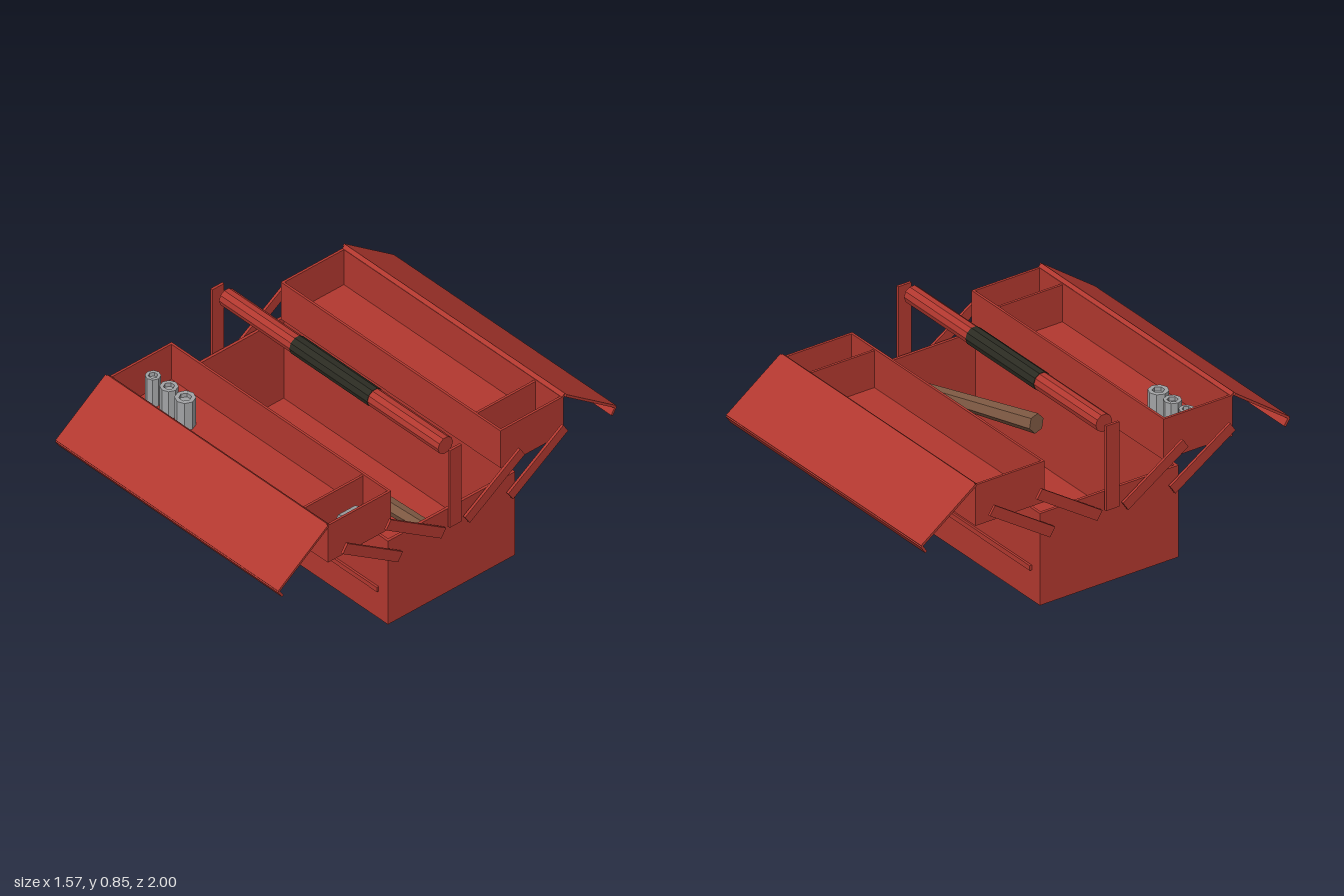
import * as THREE from 'three';

const mat = (name, color, extra = {}) => {
  const m = new THREE.MeshStandardMaterial({ color, flatShading: true, ...extra });
  m.name = name;
  return m;
};

export function createModel() {
  const red = mat('red paint', 0xb2382f);
  const black = mat('black rubber', 0x2b2b22);
  const steel = mat('steel', 0xa2a3a5);
  const wood = mat('wood', 0x7d5842);
  const model = new THREE.Group();
  model.name = 'cantileverToolbox';

  const add = (parent, name, geo, material) => {
    const mesh = new THREE.Mesh(geo, material);
    mesh.name = name;
    parent.add(mesh);
    return mesh;
  };
  // Box given by its limits on each axis, in any order
  const box = (parent, name, material, [x0, x1], [y0, y1], [z0, z1]) => {
    const geo = new THREE.BoxGeometry(Math.abs(x1 - x0), Math.abs(y1 - y0), Math.abs(z1 - z0));
    const mesh = add(parent, name, geo, material);
    mesh.position.set((x0 + x1) / 2, (y0 + y1) / 2, (z0 + z1) / 2);
    return mesh;
  };
  // Flat bar in the y-z plane between two points
  const bar = (parent, name, x, width, thick, [za, ya], [zb, yb]) => {
    const geo = new THREE.BoxGeometry(width, thick, Math.hypot(zb - za, yb - ya));
    const mesh = add(parent, name, geo, red);
    mesh.position.set(x, (ya + yb) / 2, (za + zb) / 2);
    mesh.rotation.x = -Math.atan2(yb - ya, zb - za);
    return mesh;
  };
  // Open-topped container: floor and four walls
  const container = (name, hx, [y0, y1], [z0, z1], t) => {
    const g = new THREE.Group();
    g.name = name;
    model.add(g);
    box(g, 'floor', red, [-hx, hx], [y0, y0 + t], [z0, z1]);
    box(g, 'innerWall', red, [-hx, hx], [y0 + t, y1], [z0, z0 + t]);
    box(g, 'outerWall', red, [-hx, hx], [y0 + t, y1], [z1 - t, z1]);
    for (const s of [-1, 1])
      box(g, 'endWall', red, [s * (hx - t), s * hx], [y0 + t, y1], [z0 + t, z1 - t]);
    return g;
  };

  // Lower box with feet
  const base = container('lowerBox', 0.758, [0.03, 0.49], [-0.375, 0.375], 0.014);
  for (const sx of [-1, 1])
    for (const sz of [-1, 1])
      box(base, 'foot', black, [sx * 0.583, sx * 0.69], [0, 0.03], [sz * 0.235, sz * 0.32]);

  // Front latch
  box(base, 'latchPlate', steel, [-0.075, 0.072], [0.355, 0.475], [0.375, 0.392]);
  box(base, 'latchCatch', steel, [-0.025, 0.025], [0.445, 0.462], [0.392, 0.397]);

  // Front and back: ridge, tray, open lid and swing arms
  for (const s of [-1, 1]) {
    box(base, 'ridge', red, [-0.697, 0.697], [0.18, 0.205], [s * 0.374, s * 0.386]);
    const tray = container(s > 0 ? 'frontTray' : 'backTray', 0.72, [0.515, 0.72],
      s > 0 ? [0.322, 0.695] : [-0.695, -0.322], 0.012);
    box(tray, 'divider', red, [0.538, 0.55], [0.527, 0.712], [s * 0.334, s * 0.683]);

    const lid = new THREE.Group();
    lid.name = s > 0 ? 'frontLid' : 'backLid';
    model.add(lid);
    bar(lid, 'lidPanel', 0, 1.46, 0.012, [s * 0.7, 0.726], [s * 0.994, 0.514]);
    bar(lid, 'lidLip', 0, 1.46, 0.012, [s * 0.994, 0.514], [s * 0.97, 0.478]);
    bar(lid, 'lidHinge', 0, 1.44, 0.012, [s * 0.688, 0.716], [s * 0.704, 0.728]);

    for (const sx of [-1, 1])
      for (const z of [0.07, 0.325])
        bar(model, 'swingArm', sx * 0.778, 0.013, 0.052, [s * z, 0.393], [s * (z + 0.325), 0.605]);
  }

  // Carrying handle
  const handle = new THREE.Group();
  handle.name = 'handle';
  model.add(handle);
  for (const s of [-1, 1])
    box(handle, 'upright', red, [s * 0.772, s * 0.785], [0.405, 0.83], [-0.035, 0.035]);
  const rod = add(handle, 'handleBar', new THREE.CylinderGeometry(0.044, 0.044, 1.436, 10), red);
  const grip = add(handle, 'grip', new THREE.CylinderGeometry(0.0465, 0.0465, 0.51, 10), black);
  for (const m of [rod, grip]) {
    m.rotation.z = Math.PI / 2;
    m.position.y = 0.805;
  }

  // Three sockets in the front tray
  const ring = (path, r, n) => {
    for (let i = 0; i < n; i++) {
      const a = (i / n) * Math.PI * 2;
      path[i ? 'lineTo' : 'moveTo'](r * Math.cos(a), r * Math.sin(a));
    }
    path.closePath();
    return path;
  };
  [[-0.638, 0.036], [-0.533, 0.042], [-0.427, 0.048]].forEach(([x, r]) => {
    const shape = ring(new THREE.Shape(), r, 8);
    shape.holes.push(ring(new THREE.Path(), r * 0.6, 6));
    const geo = new THREE.ExtrudeGeometry(shape, { depth: 0.15, bevelEnabled: false });
    const socket = add(model, 'socket', geo, steel);
    socket.rotation.x = -Math.PI / 2;
    socket.position.set(x, 0.527, 0.505);
    const core = add(model, 'socketCore', new THREE.CylinderGeometry(r * 0.65, r * 0.65, 0.13, 6), steel);
    core.position.set(x, 0.592, 0.505);
  });

  // Wooden tool handle in the lower box
  const from = new THREE.Vector3(0.015, 0.42, 0.165);
  const to = new THREE.Vector3(0.67, 0.33, 0.045);
  const dir = to.clone().sub(from);
  const shaft = add(model, 'toolHandle', new THREE.CylinderGeometry(0.034, 0.046, dir.length(), 6), wood);
  shaft.position.copy(from).add(to).multiplyScalar(0.5);
  shaft.quaternion.setFromUnitVectors(new THREE.Vector3(0, 1, 0), dir.normalize());

  // Small tool in the front tray's end compartment
  const head = add(model, 'smallToolHead', new THREE.CylinderGeometry(0.042, 0.042, 0.1, 8), steel);
  head.rotation.x = Math.PI / 2;
  head.position.set(0.61, 0.575, 0.46);
  const stick = add(model, 'smallToolHandle', new THREE.CylinderGeometry(0.008, 0.02, 0.23, 6), wood);
  stick.rotation.x = Math.PI / 2;
  stick.position.set(0.57, 0.55, 0.455);

  return model;
}
